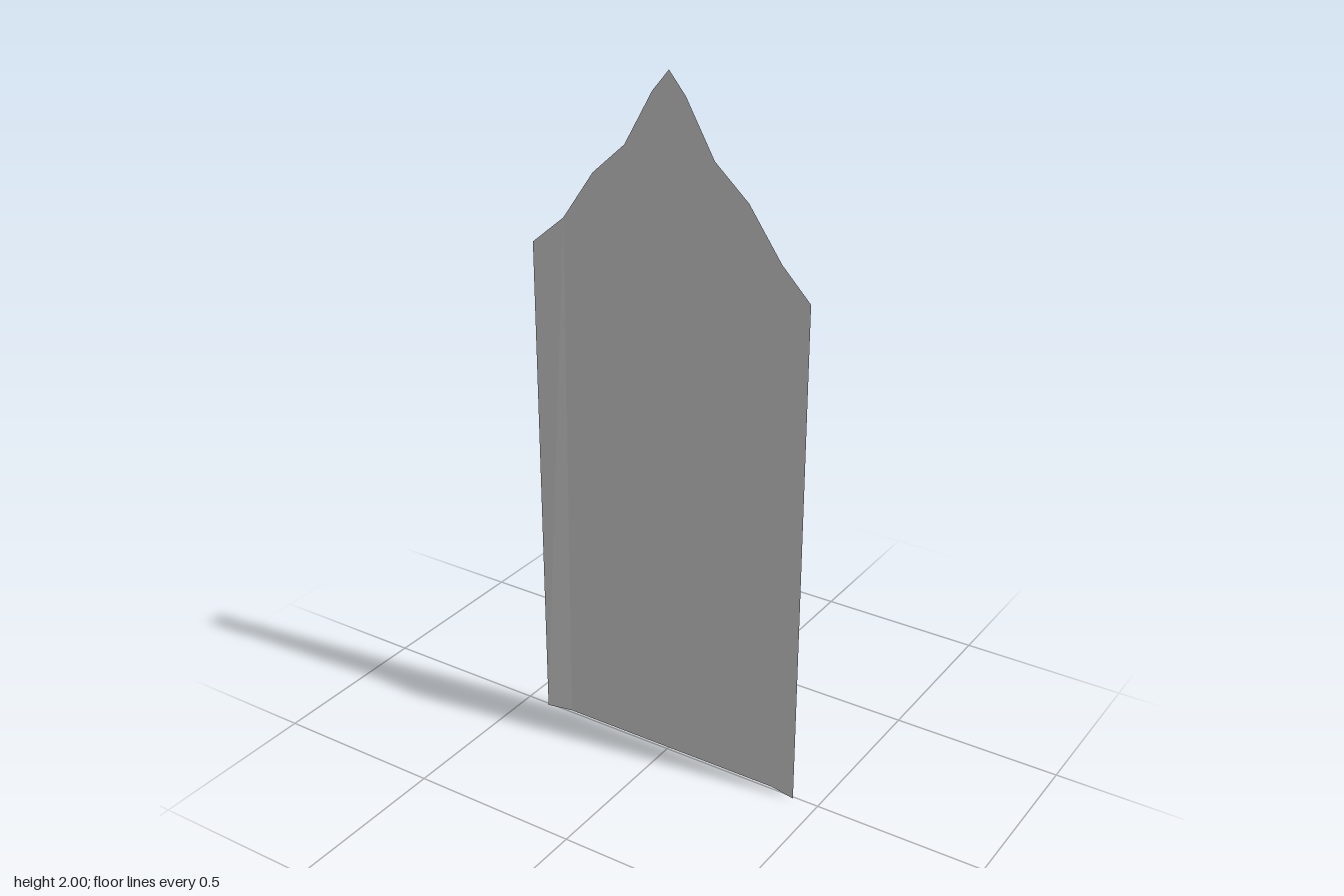
import * as THREE from 'three';

// Right half of the top edge, centre to side: [x at top, y at top, x at bottom, z]
const half = [
  [0, 2, 0, -0.008],
  [0.05, 1.94, 0.05, -0.008],
  [0.135, 1.79, 0.135, -0.008],
  [0.235, 1.7, 0.235, -0.008],
  [0.333, 1.56, 0.348, -0.008],
  [0.425, 1.48, 0.425, 0.007],
];

export function createModel() {
  const group = new THREE.Group();
  group.name = 'pointedPanel';

  // Mirror the half profile into a full row of columns, -x to +x
  const mirrored = half.slice(1).reverse().map(([xt, y, xb, z]) => [-xt, y, -xb, z]);
  const columns = [...mirrored, ...half];

  // One bottom and one top vertex per column, joined into a folded sheet
  const positions = [];
  const indices = [];
  columns.forEach(([xt, y, xb, z], i) => {
    positions.push(xb, 0, z, xt, y, z);
    if (i > 0) {
      const a = 2 * (i - 1);
      indices.push(a, a + 2, a + 3, a, a + 3, a + 1);
    }
  });
  const indexed = new THREE.BufferGeometry();
  indexed.setAttribute('position', new THREE.Float32BufferAttribute(positions, 3));
  indexed.setIndex(indices);
  const geometry = indexed.toNonIndexed();
  geometry.computeVertexNormals();

  // Thin open sheet with slightly bent side strips
  const material = new THREE.MeshStandardMaterial({
    color: 0xcccccc, flatShading: true, side: THREE.DoubleSide,
  });
  const panel = new THREE.Mesh(geometry, material);
  panel.name = 'panel';
  group.add(panel);
  return group;
}
